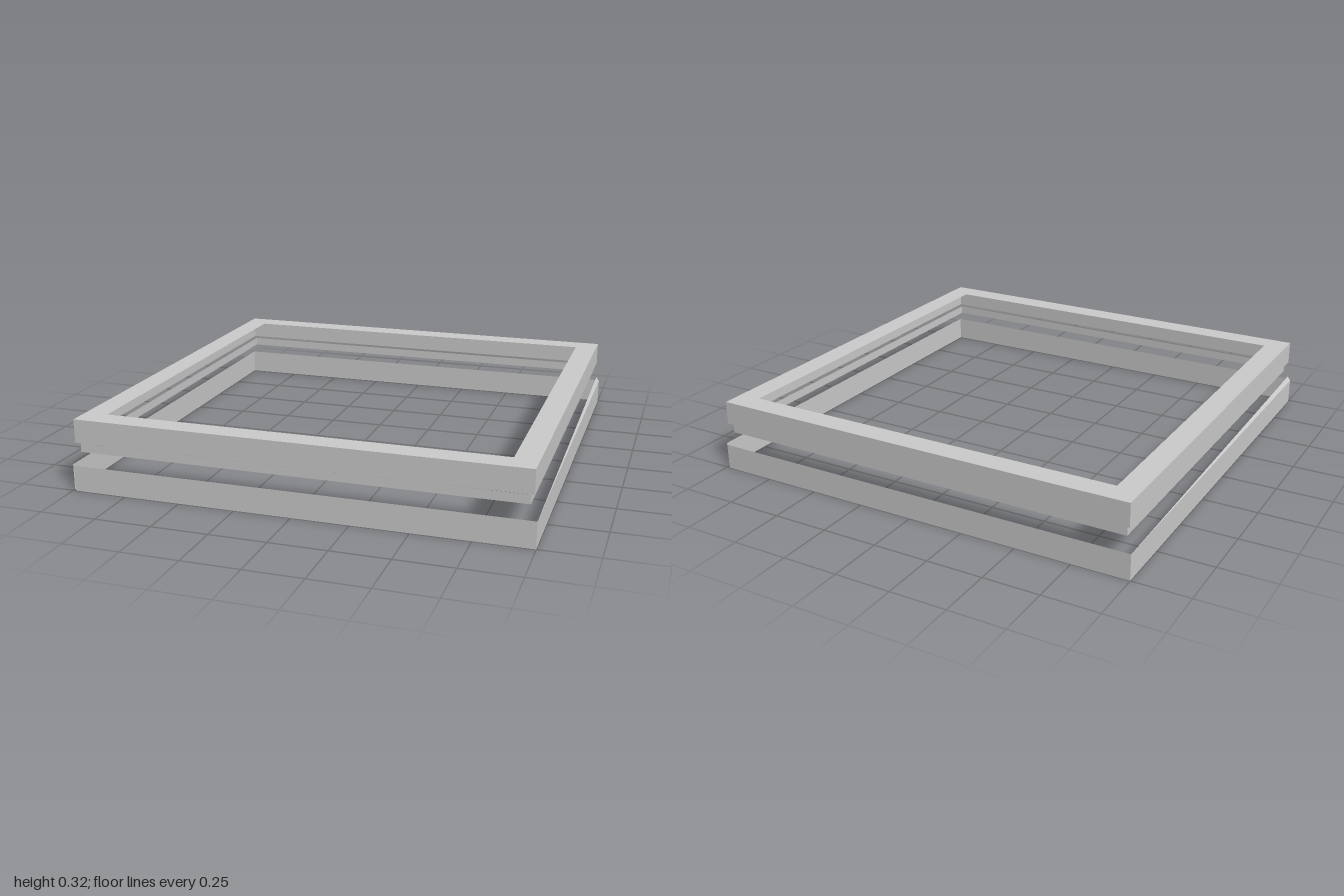
import * as THREE from 'three';

const material = new THREE.MeshStandardMaterial({
  color: 0xcccccc, flatShading: true, side: THREE.DoubleSide,
});

function addMesh(parent, name, geometry) {
  const mesh = new THREE.Mesh(geometry, material);
  mesh.name = name;
  parent.add(mesh);
  return mesh;
}

// Thin upright sheet facing +z, spanning x0..x1 and y0..y1 at depth z
function sheet(x0, x1, y0, y1, z) {
  return new THREE.PlaneGeometry(x1 - x0, y1 - y0)
    .translate((x0 + x1) / 2, (y0 + y1) / 2, z);
}

// Four thin walls around a square
function addBand(parent, name, half, y0, y1) {
  const band = new THREE.Group();
  band.name = name;
  for (let i = 0; i < 4; i++) {
    addMesh(band, name + 'Wall', sheet(-half, half, y0, y1, half)).rotation.y = i * Math.PI / 2;
  }
  parent.add(band);
}

function squarePath(path, h) {
  path.moveTo(-h, -h);
  path.lineTo(h, -h);
  path.lineTo(h, h);
  path.lineTo(-h, h);
  path.closePath();
  return path;
}

export function createModel() {
  const model = new THREE.Group();
  model.name = 'squareFrame';

  // Top frame: flat rim with an outer skirt, open underneath
  const rim = squarePath(new THREE.Shape(), 0.983);
  rim.holes.push(squarePath(new THREE.Path(), 0.88));
  addMesh(model, 'topRim',
    new THREE.ShapeGeometry(rim).rotateX(-Math.PI / 2).translate(0, 0.318, 0));
  addBand(model, 'topSkirt', 0.983, 0.214, 0.318);

  // Narrow middle band
  addBand(model, 'middleBand', 0.967, 0.168, 0.207);

  // Lower skirt: two L-shaped strips leaving a slit at opposite corners
  const end = 0.986, top = 0.115;
  for (let i = 0; i < 2; i++) {
    const strip = new THREE.Group();
    strip.name = 'lowerSkirt';
    strip.rotation.y = i * Math.PI;
    addMesh(strip, 'lowerFrontPanel', sheet(-end, 1, 0, top, 1));
    addMesh(strip, 'lowerSidePanel', sheet(-1, end, 0, top, 1).rotateY(Math.PI / 2));

    // Slender tapering lip on the side panel
    const lip = new THREE.BufferGeometry().setFromPoints([
      new THREE.Vector3(1, top, 1),
      new THREE.Vector3(1, top, -end),
      new THREE.Vector3(end, 0.135, -end),
    ]);
    lip.computeVertexNormals();
    addMesh(strip, 'sideLip', lip);
    model.add(strip);
  }

  return model;
}
